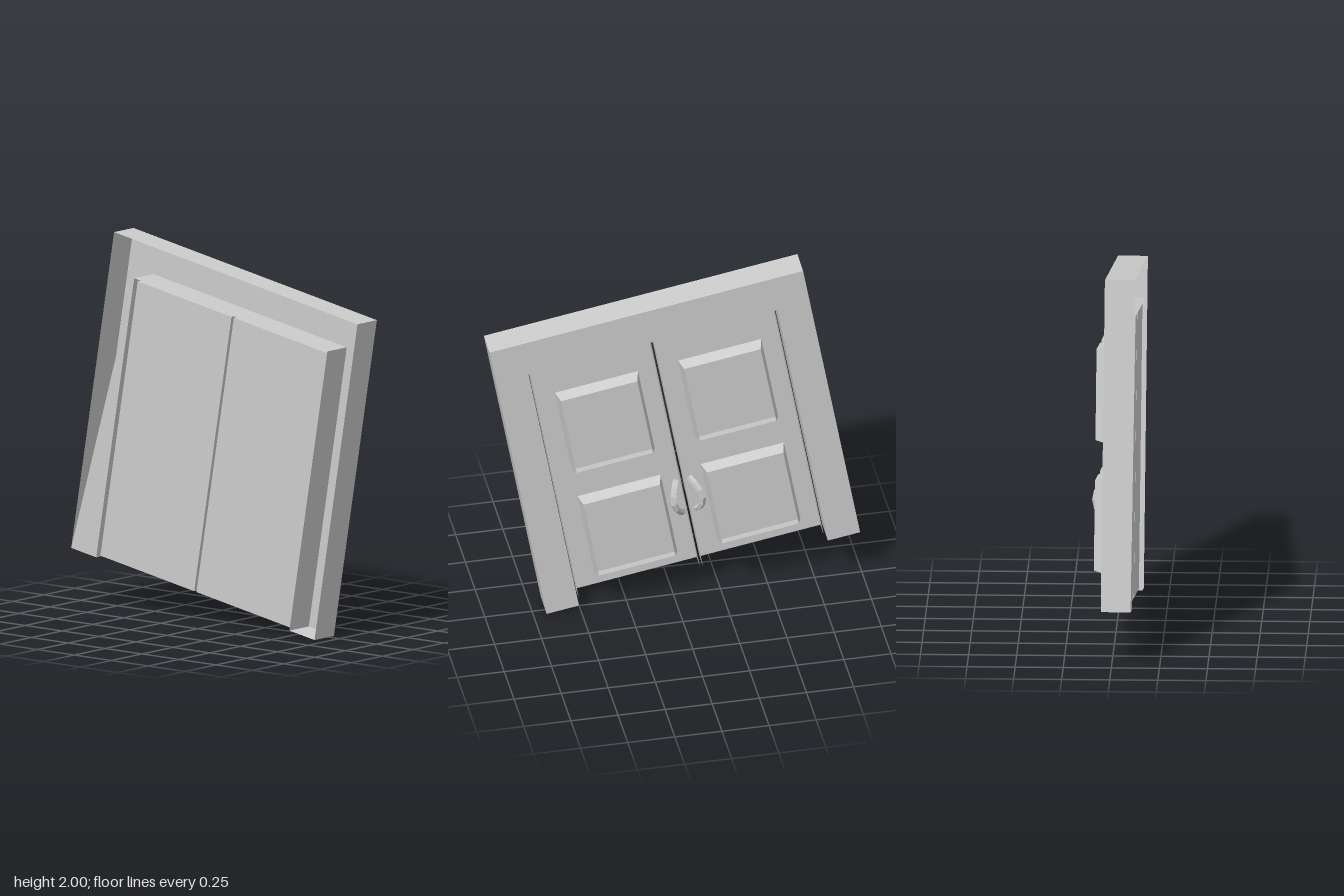
import * as THREE from 'three';

const grey = new THREE.MeshStandardMaterial({ color: 0xcccccc, side: THREE.DoubleSide, flatShading: true });
grey.name = 'plain grey';

function mesh(name, geometry) {
  const m = new THREE.Mesh(geometry, grey);
  m.name = name;
  return m;
}

// Flat sheet with the given outline at depth z
function sheet(name, outline, z) {
  const shape = new THREE.Shape(outline.map(([x, y]) => new THREE.Vector2(x, y)));
  return mesh(name, new THREE.ShapeGeometry(shape).translate(0, 0, z));
}

// Open band of walls joining two outlines of equal length
function walls(name, outerLine, z0, innerLine, z1, closed = true) {
  const pos = [];
  const n = outerLine.length;
  for (let i = 0; i < (closed ? n : n - 1); i++) {
    const j = (i + 1) % n;
    const a = [...outerLine[i], z0], b = [...outerLine[j], z0];
    const c = [...innerLine[j], z1], d = [...innerLine[i], z1];
    pos.push(...a, ...b, ...c, ...a, ...c, ...d);
  }
  const g = new THREE.BufferGeometry();
  g.setAttribute('position', new THREE.Float32BufferAttribute(pos, 3));
  g.computeVertexNormals();
  return mesh(name, g);
}

// Rectangle outline, counter-clockwise from bottom left, shrunk by inset
function rect(x0, y0, x1, y1, inset = 0) {
  const i = inset;
  return [[x0 + i, y0 + i], [x1 - i, y0 + i], [x1 - i, y1 - i], [x0 + i, y1 - i]];
}

export function createModel() {
  const model = new THREE.Group();
  const doorway = new THREE.Group();
  doorway.name = 'doorway';
  doorway.position.y = 1;
  doorway.rotation.set(0.005, -0.01, -Math.PI / 18);
  model.add(doorway);

  const W = 0.843, H = 0.865, ow = 0.669, oh = 0.664;
  const back = -0.042, front = 0.113;

  // Hollow frame: back sheet and walls, open towards the front
  const frame = new THREE.Group();
  frame.name = 'frame';
  const outline = [[-W, -H], [-ow, -H], [-ow, oh], [ow, oh], [ow, -H], [W, -H], [W, H], [-W, H]];
  frame.add(sheet('frameBack', outline, back));
  frame.add(walls('frameWalls', outline, back, outline, front));
  frame.add(sheet('frameCorner', [[-W, -H], [-ow, -H], [-ow, oh]], front));
  doorway.add(frame);

  for (const side of [1, -1]) {
    const door = new THREE.Group();
    door.name = side > 0 ? 'leftDoor' : 'rightDoor';
    const x0 = Math.min(side * 0.008, side * 0.658), x1 = Math.max(side * 0.008, side * 0.658);

    // Door leaf with side and top edges
    const leaf = rect(x0, -0.855, x1, 0.648);
    door.add(sheet('doorLeaf', leaf, 0.095));
    const rim = [leaf[0], leaf[3], leaf[2], leaf[1]];
    door.add(walls('doorEdge', rim, 0, rim, 0.095, false));

    // Two bevelled panel surrounds
    const p0 = Math.min(side * 0.108, side * 0.555), p1 = Math.max(side * 0.108, side * 0.555);
    for (const [y0, y1] of [[-0.01, 0.5], [-0.69, -0.185]]) {
      door.add(walls('panelSurround', rect(p0, y0, p1, y1), -0.032,
        rect(p0, y0, p1, y1, 0.018), -0.093));
    }

    // Curved pull handle, bowed outwards
    const path = new THREE.CatmullRomCurve3([
      [0.035, -0.235, -0.045], [0.062, -0.275, -0.09], [0.078, -0.335, -0.108],
      [0.062, -0.4, -0.09], [0.035, -0.445, -0.045],
    ].map(([x, y, z]) => new THREE.Vector3(side * x, y, z)));
    door.add(mesh('handle', new THREE.TubeGeometry(path, 6, 0.017, 5)));
    doorway.add(door);
  }
  return model;
}
